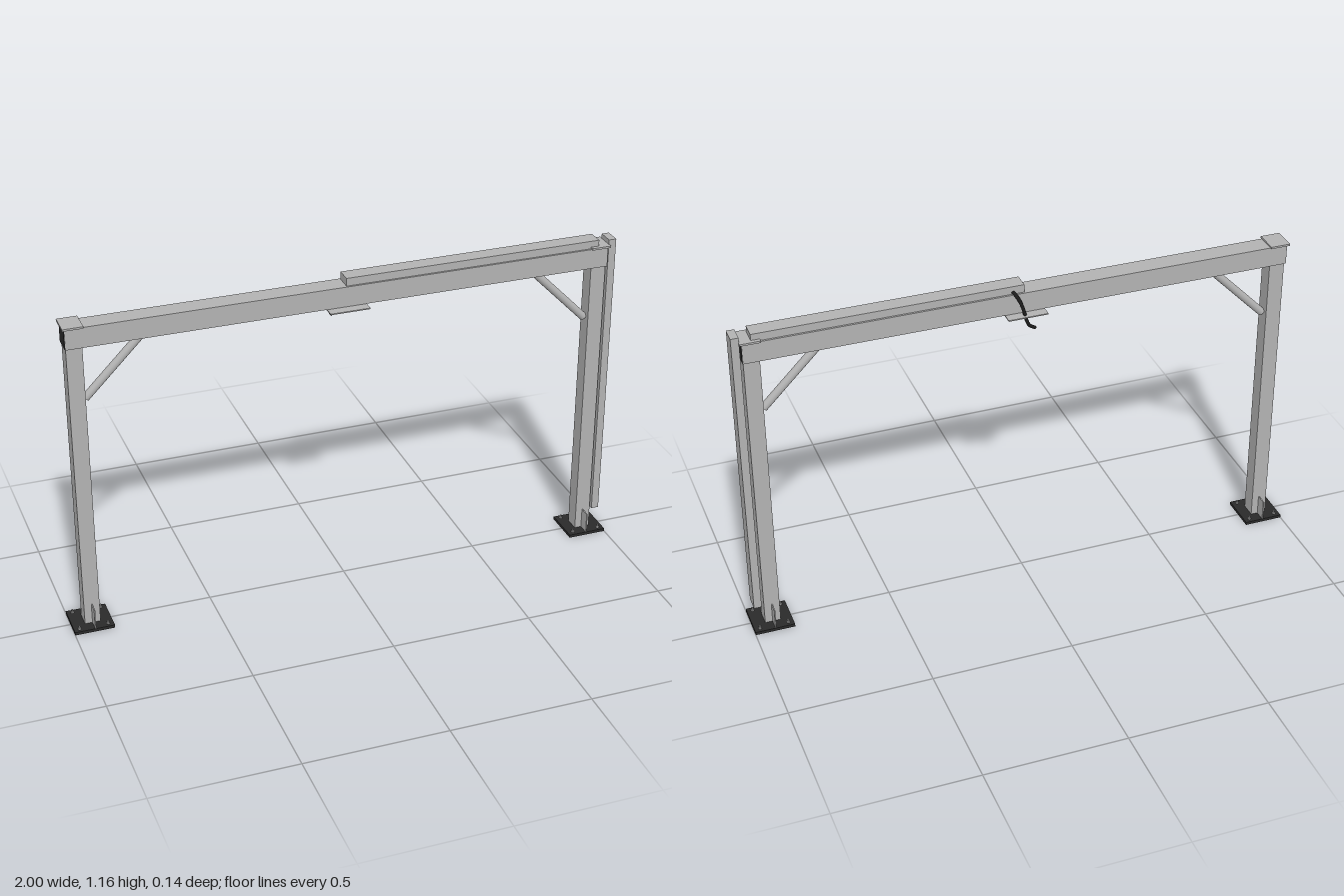
import * as THREE from 'three';

export function createModel() {
  const model = new THREE.Group();
  model.name = 'gantryFrame';

  const material = (name, color) => {
    const m = new THREE.MeshStandardMaterial({ color });
    m.name = name;
    return m;
  };
  const steel = material('galvanisedSteel', 0xb2b2b2);
  const dark = material('darkPlate', 0x2a2a2a);
  const rubber = material('blackCable', 0x1c1c1c);

  const add = (parent, name, geometry, mat) => {
    const mesh = new THREE.Mesh(geometry, mat);
    mesh.name = name;
    parent.add(mesh);
    return mesh;
  };
  // Box given by its limits on each axis
  const box = (parent, name, [x0, x1], [y0, y1], [z0, z1], mat = steel) => {
    const g = new THREE.BoxGeometry(x1 - x0, y1 - y0, z1 - z0);
    g.translate((x0 + x1) / 2, (y0 + y1) / 2, (z0 + z1) / 2);
    return add(parent, name, g, mat);
  };
  // Round bar between two points
  const bar = (parent, name, a, b, radius, sides = 24, mat = steel) => {
    const dir = b.clone().sub(a);
    const mesh = add(parent, name, new THREE.CylinderGeometry(radius, radius, dir.length(), sides), mat);
    mesh.position.copy(a).add(b).multiplyScalar(0.5);
    mesh.quaternion.setFromUnitVectors(new THREE.Vector3(0, 1, 0), dir.normalize());
    return mesh;
  };

  // Legs with base, gusset, bolts, cap and knee brace
  for (const s of [-1, 1]) {
    const leg = new THREE.Group();
    leg.name = s < 0 ? 'rightLeg' : 'leftLeg';
    model.add(leg);
    const span = (a, b) => (s > 0 ? [a, b] : [-b, -a]);

    box(leg, 'post', span(0.9, 0.955), [0.01, 1.065], [-0.028, 0.028]);
    box(leg, 'basePlate', span(0.86, 1), [0, 0.011], [-0.07, 0.07], dark);
    for (const z of [-1, 1]) {
      box(leg, 'gusset', span(0.925, 0.929), [0.011, 0.085], z > 0 ? [0.028, 0.068] : [-0.068, -0.028]);
      for (const x of [0.88, 0.98]) {
        const p = new THREE.Vector3(s * x, 0.011, z * 0.053);
        bar(leg, 'nut', p, p.clone().setY(0.016), 0.006, 6);
        bar(leg, 'anchorBolt', p, p.clone().setY(0.024), 0.003, 10);
      }
    }
    box(leg, 'capPlate', span(0.895, 0.965), [1.136, 1.143], [-0.043, 0.043]);
    bar(leg, 'kneeBrace', new THREE.Vector3(s * 0.895, 0.866, 0), new THREE.Vector3(s * 0.703, 1.06, 0), 0.014);

    // Dark closure on the beam end
    box(leg, 'beamEndCap', span(0.955, 0.959), [1.067, 1.134], [-0.033, 0.033], dark);
  }

  // Cross beam and the mounting plate beneath its middle
  box(model, 'crossBeam', [-0.957, 0.957], [1.065, 1.137], [-0.036, 0.036]);
  box(model, 'mountingPlate', [-0.07, 0.07], [1.06, 1.064], [-0.07, 0.07]);

  // Cable ducts along the beam and down the outside of one leg
  box(model, 'beamDuct', [0, 0.925], [1.137, 1.165], [-0.029, 0.029]);
  box(model, 'legDuct', [0.963, 0.99], [0.083, 1.16], [-0.029, 0.029]);

  // Cable hanging from the duct down the back of the beam
  const path = new THREE.CatmullRomCurve3([
    [0.04, 1.143, -0.026], [0.035, 1.138, -0.04], [0.025, 1.12, -0.048],
    [0.012, 1.085, -0.052], [0.002, 1.045, -0.053], [-0.01, 1.02, -0.05], [-0.03, 1.005, -0.046],
  ].map(p => new THREE.Vector3(...p)));
  add(model, 'cable', new THREE.TubeGeometry(path, 40, 0.006, 12), rubber);
  // Cable tip
  const tip = path.getPoint(1);
  bar(model, 'cableTip', tip, tip.clone().addScaledVector(path.getTangent(1), 0.002), 0.006, 12, rubber);

  return model;
}
